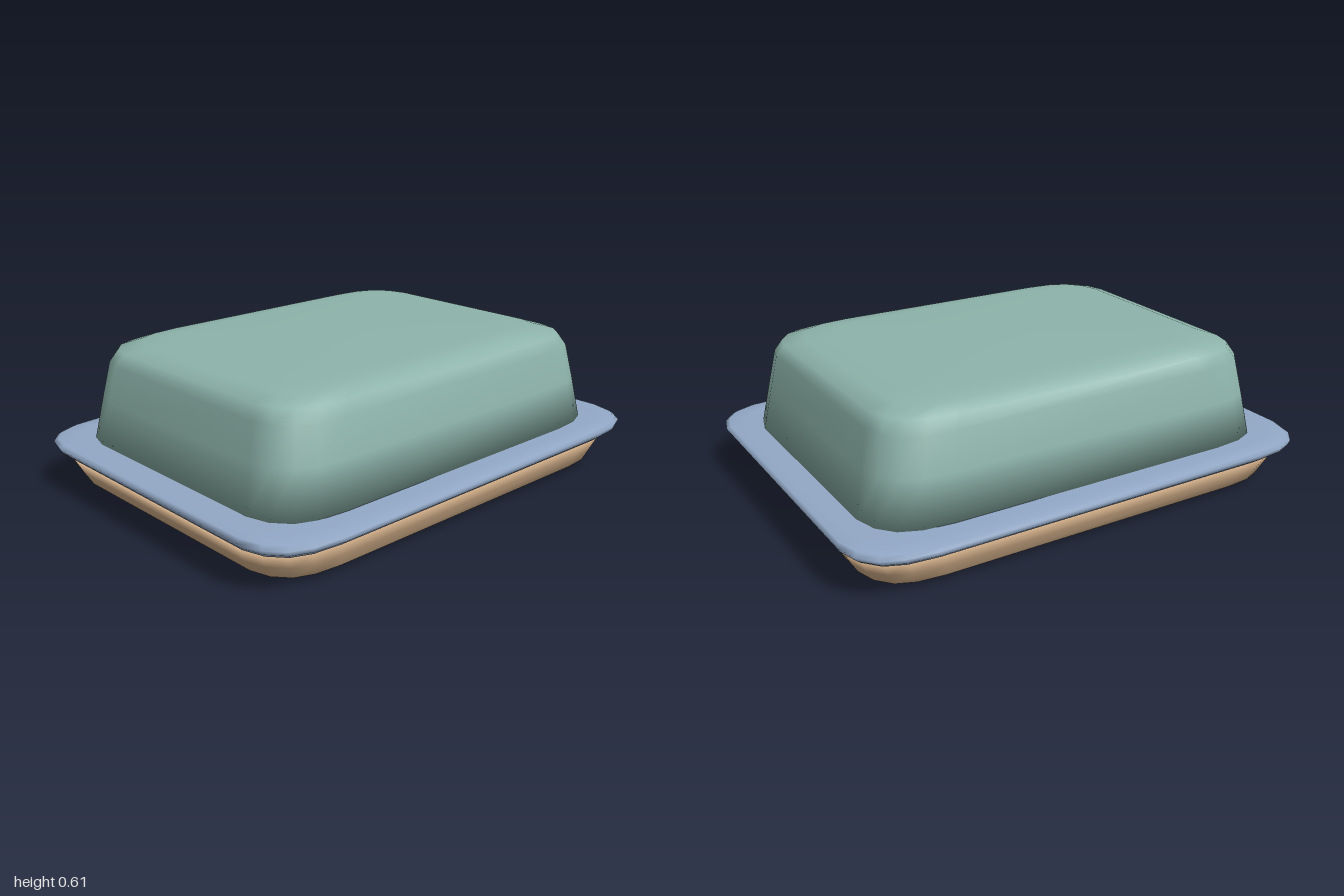
import * as THREE from 'three';

// One rounded-rectangle outline, running from +x towards +z
function outline(y, hx, hz, s) {
  const corner = [[0, 0.2], [0.025, 0.11], [0.08, 0.045], [0.16, 0.012], [0.28, 0]]
    .map(([dx, dz]) => [hx - dx * s, hz - dz * s]);
  const back = [...corner].reverse();
  return [
    ...corner,
    ...back.map(([x, z]) => [-x, z]),
    ...corner.map(([x, z]) => [-x, -z]),
    ...back.map(([x, z]) => [x, -z]),
  ].map(([x, z]) => [x, y, z]);
}

// Closed smooth solid from stacked sections [y, halfX, halfZ, cornerSize], bottom to top
function loft(sections, crown) {
  const rings = sections.map((s) => outline(...s));
  const n = rings[0].length;
  const bottom = rings.length * n;
  const top = bottom + 1;
  const positions = [...rings.flat(2), 0, sections[0][0], 0, 0, crown, 0];
  const index = [];
  for (let j = 0; j < n; j++) {
    const k = (j + 1) % n;
    for (let i = 0; i < rings.length - 1; i++) {
      const a = i * n + j, b = i * n + k;
      index.push(a, a + n, b, b, a + n, b + n);
    }
    const last = (rings.length - 1) * n;
    index.push(bottom, j, k, top, last + k, last + j);
  }
  const geometry = new THREE.BufferGeometry();
  geometry.setAttribute('position', new THREE.Float32BufferAttribute(positions, 3));
  geometry.setIndex(index);
  geometry.computeVertexNormals();
  return geometry;
}

export function createModel() {
  const group = new THREE.Group();
  const material = (name, color) => {
    const m = new THREE.MeshStandardMaterial({ color });
    m.name = name;
    return m;
  };
  const add = (name, geometry, mat) => {
    const mesh = new THREE.Mesh(geometry, mat);
    mesh.name = name;
    group.add(mesh);
  };

  // Shallow tan base
  add('base', loft([
    [0.0, 0.76, 0.58, 0.8],
    [0.008, 0.85, 0.65, 0.85],
    [0.03, 0.9, 0.685, 0.9],
    [0.08, 0.93, 0.705, 0.95],
    [0.138, 0.96, 0.73, 1],
  ], 0.138), material('tan', 0xd0ad88));

  // Wide flat rim
  add('rim', loft([
    [0.14, 0.93, 0.71, 0.9],
    [0.15, 0.97, 0.75, 0.95],
    [0.17, 0.99, 0.775, 1],
    [0.188, 1.0, 0.778, 1],
    [0.2, 0.985, 0.765, 1],
    [0.205, 0.93, 0.7, 0.95],
  ], 0.205), material('slate blue', 0x92a8c6));

  // Tapered domed lid
  add('lid', loft([
    [0.204, 0.875, 0.66, 1],
    [0.38, 0.84, 0.632, 0.95],
    [0.52, 0.812, 0.605, 0.9],
    [0.57, 0.785, 0.58, 0.9],
    [0.595, 0.71, 0.525, 0.9],
    [0.605, 0.6, 0.44, 0.8],
  ], 0.61), material('sage green', 0x8db3aa));

  return group;
}
